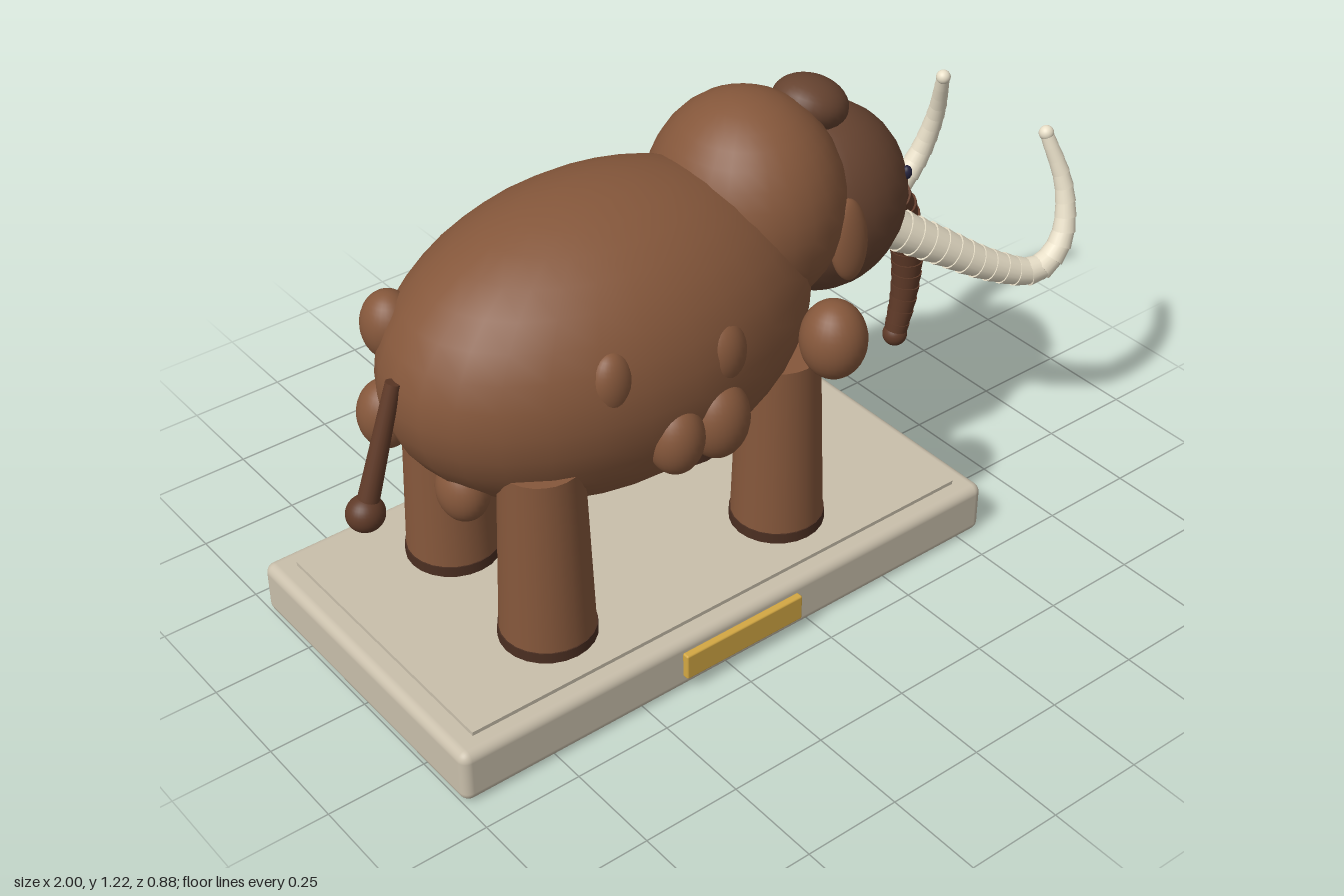
import * as THREE from 'three';
import { RoundedBoxGeometry } from 'three/addons/geometries/RoundedBoxGeometry.js';

const mat = (color) => new THREE.MeshStandardMaterial({ color });
const fur = mat(0x85573b), darkFur = mat(0x664330), trunkBrown = mat(0x5f3a28), footBrown = mat(0x4a2e21);
const ivory = mat(0xe8dfc8), stone = mat(0xc9bfab), brass = mat(0xd4a843), eyeBlue = mat(0x25233d);
const UP = new THREE.Vector3(0, 1, 0);
const ball = new THREE.SphereGeometry(1, 28, 18);

export function createModel() {
  const model = new THREE.Group();

  function add(name, geometry, material, x = 0, y = 0, z = 0, parent = model) {
    const mesh = new THREE.Mesh(geometry, material);
    mesh.name = name;
    mesh.position.set(x, y, z);
    parent.add(mesh);
    return mesh;
  }

  function ellipsoid(name, material, [x, y, z], [rx, ry, rz], parent = model) {
    const mesh = add(name, ball, material, x, y, z, parent);
    mesh.scale.set(rx, ry, rz);
    return mesh;
  }

  // Tapered cylinder between two points
  function limb(name, material, a, b, ra, rb, parent = model) {
    const dir = b.clone().sub(a);
    const geometry = new THREE.CylinderGeometry(rb, ra, dir.length(), 20);
    const mid = a.clone().add(b).multiplyScalar(0.5);
    const mesh = add(name, geometry, material, mid.x, mid.y, mid.z, parent);
    mesh.quaternion.setFromUnitVectors(UP, dir.normalize());
    return mesh;
  }

  // Stepped rings along a curve, each overlapping the next, with a round tip
  function ringed(name, material, points, count, r0, r1) {
    const group = new THREE.Group();
    group.name = name;
    const curve = new THREE.CatmullRomCurve3(points.map((p) => new THREE.Vector3(...p)));
    for (let i = 0; i < count; i++) {
      const r = THREE.MathUtils.lerp(r0, r1, i / (count - 1));
      const a = curve.getPointAt(i / count);
      const b = curve.getPointAt(Math.min(1, (i + 1.15) / count));
      limb(name + 'Ring', material, a, b, r, r * 0.86, group);
    }
    const tip = points[points.length - 1];
    ellipsoid(name + 'Tip', material, tip, [r1, r1, r1], group);
    model.add(group);
  }

  // Display base with a raised top and a plaque
  add('base', new RoundedBoxGeometry(1.57, 0.14, 0.86, 4, 0.025), stone, -0.215, 0.07, -0.01);
  add('baseTop', new THREE.BoxGeometry(1.45, 0.02, 0.75), stone, -0.215, 0.14, -0.005);
  add('plaque', new RoundedBoxGeometry(0.35, 0.07, 0.02, 2, 0.005), brass, -0.215, 0.075, 0.428);

  // Body, shoulder hump and head
  ellipsoid('body', fur, [-0.3, 0.77, 0], [0.56, 0.37, 0.37]);
  ellipsoid('shoulderHump', fur, [0.13, 0.945, 0], [0.235, 0.275, 0.25]);
  ellipsoid('head', darkFur, [0.36, 0.87, 0], [0.225, 0.24, 0.205]);
  ellipsoid('crown', darkFur, [0.325, 1.135, 0], [0.095, 0.065, 0.092]).rotation.z = -0.35;

  // Paired ears, eyes, tusks and legs
  for (const side of [1, -1]) {
    const ear = ellipsoid('ear', fur, [0.28, 0.87, side * 0.2], [0.054, 0.105, 0.03]);
    ear.rotation.x = side * -0.12;
    ellipsoid('eye', eyeBlue, [0.525, 0.93, side * 0.13], [0.013, 0.018, 0.013]);
    ringed('tusk', ivory, [
      [0.5, 0.775, 0.1], [0.62, 0.7, 0.16], [0.75, 0.62, 0.22], [0.87, 0.58, 0.26],
      [0.945, 0.64, 0.265], [0.972, 0.77, 0.235], [0.943, 0.915, 0.185],
    ].map(([x, y, z]) => [x, y, z * side]), 22, 0.056, 0.019);
    for (const x of [0.08, -0.61]) {
      const name = x > 0 ? 'frontLeg' : 'hindLeg';
      add(name, new THREE.CylinderGeometry(0.098, 0.115, 0.49, 24), fur, x, 0.393, side * 0.195);
      add('foot', new THREE.CylinderGeometry(0.117, 0.118, 0.03, 24), footBrown, x, 0.162, side * 0.195);
    }
  }

  // Trunk
  ringed('trunk', trunkBrown, [
    [0.55, 0.82, 0], [0.62, 0.745, 0], [0.663, 0.62, 0], [0.667, 0.48, 0], [0.64, 0.345, 0],
  ], 14, 0.057, 0.032);

  // Tail and tuft
  limb('tail', trunkBrown, new THREE.Vector3(-0.85, 0.85, 0), new THREE.Vector3(-0.945, 0.55, 0), 0.018, 0.026);
  ellipsoid('tailTuft', trunkBrown, [-0.948, 0.54, 0], [0.046, 0.044, 0.044]);

  // Shaggy fur clumps: position, then radii
  const clumps = [
    [-0.34, 0.66, 0.335, 0.068, 0.09, 0.065], [-0.22, 0.66, 0.335, 0.077, 0.1, 0.07],
    [-0.2, 0.82, 0.31, 0.068, 0.09, 0.06], [-0.49, 0.855, 0.3, 0.055, 0.08, 0.045],
    [0.135, 0.715, 0.32, 0.08, 0.1, 0.082], [-0.75, 0.87, -0.17, 0.065, 0.085, 0.07],
    [-0.52, 0.73, -0.345, 0.08, 0.1, 0.075], [-0.71, 0.54, -0.29, 0.07, 0.09, 0.07],
    [-0.28, 0.56, -0.33, 0.08, 0.1, 0.085], [-0.1, 0.54, -0.31, 0.075, 0.09, 0.075],
    [-0.18, 0.62, -0.33, 0.07, 0.09, 0.07], [-0.03, 0.7, -0.33, 0.075, 0.09, 0.075],
    [0.11, 0.78, -0.33, 0.075, 0.1, 0.085], [0.13, 0.6, -0.29, 0.07, 0.09, 0.075],
    [-0.28, 0.44, -0.03, 0.07, 0.075, 0.075], [-0.06, 0.46, -0.09, 0.075, 0.09, 0.07],
    [-0.51, 0.46, -0.1, 0.07, 0.085, 0.07], [-0.73, 0.54, 0.06, 0.06, 0.08, 0.07],
  ];
  for (const [x, y, z, rx, ry, rz] of clumps) ellipsoid('furClump', fur, [x, y, z], [rx, ry, rz]);

  return model;
}
